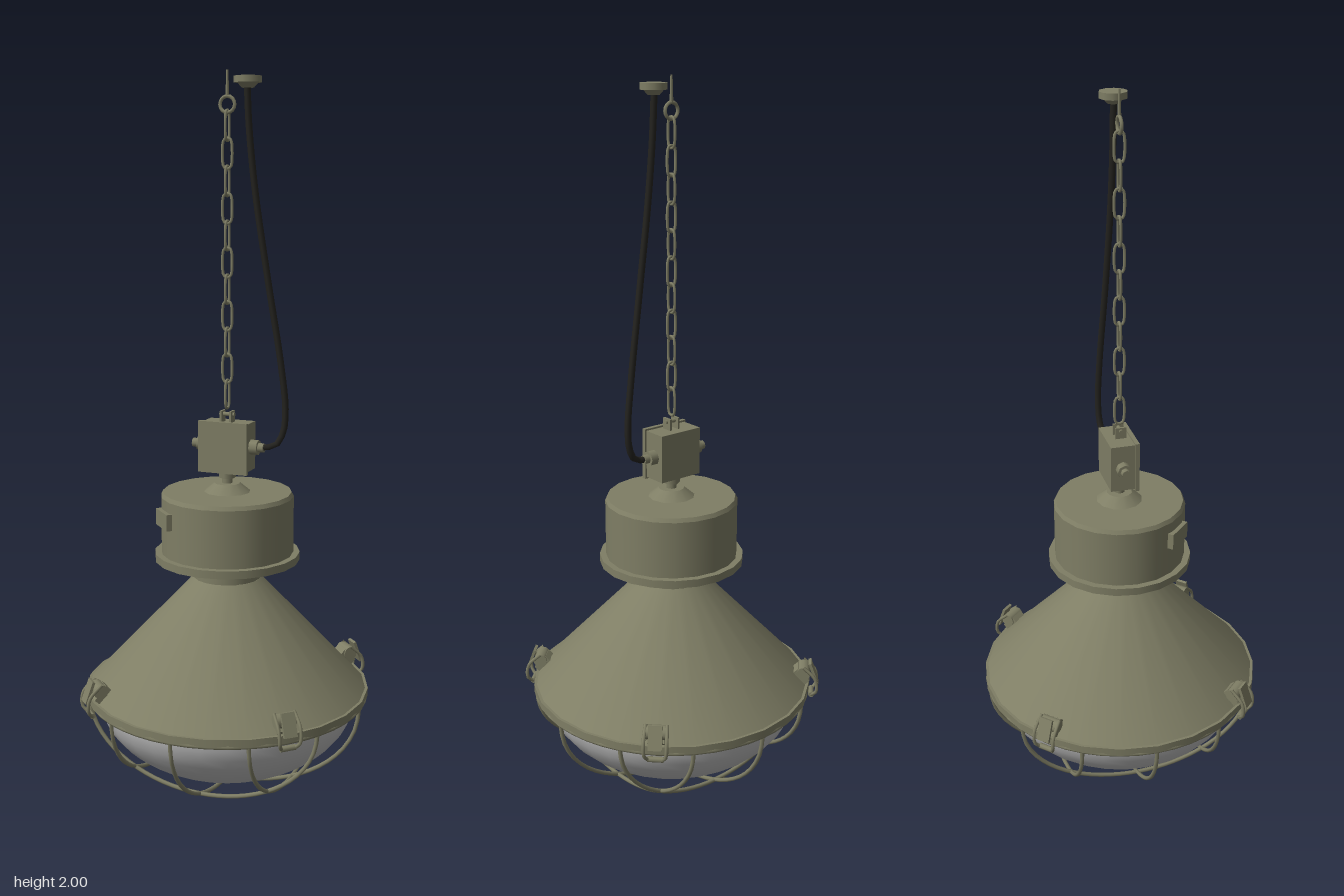
import * as THREE from 'three';

const paint = new THREE.MeshStandardMaterial({ color: 0x7f7e65 });
paint.name = 'olivePaint';
const glass = new THREE.MeshStandardMaterial({ color: 0xbcbcbc });
glass.name = 'frostedGlass';
const rubber = new THREE.MeshStandardMaterial({ color: 0x24231f });
rubber.name = 'blackRubber';

const V = (x, y, z) => new THREE.Vector3(x, y, z);

function add(parent, name, geometry, material, x = 0, y = 0, z = 0) {
  const mesh = new THREE.Mesh(geometry, material);
  mesh.name = name;
  mesh.position.set(x, y, z);
  parent.add(mesh);
  return mesh;
}

// Upright turned part between two heights
function turned(parent, name, y0, y1, rBottom, rTop, sides = 20, x = 0, z = 0) {
  return add(parent, name, new THREE.CylinderGeometry(rTop, rBottom, y1 - y0, sides),
    paint, x, (y0 + y1) / 2, z);
}

// Part turned about the x axis
function sideways(parent, name, x0, x1, r, y, z, sides = 10) {
  const mesh = add(parent, name, new THREE.CylinderGeometry(r, r, x1 - x0, sides),
    paint, (x0 + x1) / 2, y, z);
  mesh.rotation.z = Math.PI / 2;
  return mesh;
}

function wire(parent, name, points, radius, material = paint, closed = false, steps = 24) {
  const curve = new THREE.CatmullRomCurve3(points, closed, 'centripetal');
  return add(parent, name, new THREE.TubeGeometry(curve, steps, radius, 6, closed), material);
}

function createShade() {
  const g = new THREE.Group();
  g.name = 'shade';
  turned(g, 'shadeCone', 0.302, 0.62, 0.395, 0.095, 24);
  turned(g, 'shadeRim', 0.28, 0.302, 0.403, 0.403, 24);
  turned(g, 'neck', 0.615, 0.675, 0.095, 0.095, 20);
  // Glass bowl
  const bowl = new THREE.SphereGeometry(0.37, 32, 12, 0, Math.PI * 2, Math.PI / 2, Math.PI / 2);
  bowl.scale(1, 0.235 / 0.37, 1);
  add(g, 'glassBowl', bowl, glass, 0, 0.281, 0);
  return g;
}

// Guard of crossing wires, three in each direction
function createCage() {
  const g = new THREE.Group();
  g.name = 'cage';
  const R = 0.395;
  for (const turn of [0, Math.PI / 2]) {
    for (const c of [-0.2, 0, 0.2]) {
      const r = Math.sqrt(R * R - c * c);
      const points = [];
      for (let i = 0; i <= 16; i++) {
        const t = (i / 16) * Math.PI;
        points.push(V(c, 0.28 - 0.273 * (r / R) * Math.sin(t), r * Math.cos(t)));
      }
      wire(g, 'cageWire', points, 0.006, paint, false, 32).rotation.y = turn;
    }
  }
  const ring = add(g, 'cageRing', new THREE.TorusGeometry(R, 0.007, 6, 48), paint, 0, 0.28, 0);
  ring.rotation.x = Math.PI / 2;
  return g;
}

// Toggle clamp, built with its outward side along +z
function createClamp() {
  const g = new THREE.Group();
  g.name = 'clamp';
  add(g, 'clampBase', new THREE.BoxGeometry(0.046, 0.05, 0.025), paint, 0, 0.325, 0.378)
    .rotation.x = -0.75;
  sideways(g, 'clampPivot', -0.027, 0.027, 0.02, 0.338, 0.386, 12);
  add(g, 'clampLever', new THREE.BoxGeometry(0.038, 0.065, 0.008), paint, 0, 0.336, 0.415)
    .rotation.x = -0.35;
  for (const s of [-1, 1]) {
    wire(g, 'clampLink', [V(s * 0.029, 0.36, 0.385), V(s * 0.031, 0.325, 0.42),
      V(s * 0.029, 0.285, 0.424), V(s * 0.018, 0.268, 0.41)], 0.005, paint, false, 10);
  }
  sideways(g, 'clampCatch', -0.022, 0.022, 0.008, 0.27, 0.41, 8);
  return g;
}

function createHousing() {
  const g = new THREE.Group();
  g.name = 'gearHousing';
  turned(g, 'housingFlange', 0.672, 0.694, 0.204, 0.204, 20);
  turned(g, 'housingDrum', 0.69, 0.855, 0.186, 0.186, 20);
  turned(g, 'housingTop', 0.855, 0.866, 0.186, 0.18, 20);
  turned(g, 'topBoss', 0.866, 0.89, 0.065, 0.036, 12);
  turned(g, 'stem', 0.885, 0.93, 0.015, 0.015, 10);
  turned(g, 'stemNut', 0.905, 0.923, 0.024, 0.024, 6);
  // Small plate on the drum
  const plate = add(g, 'ratingPlate', new THREE.BoxGeometry(0.085, 0.046, 0.02), paint,
    -0.133, 0.802, 0.13);
  plate.rotation.y = -Math.PI / 4;
  return g;
}

function createJunctionBox() {
  const g = new THREE.Group();
  g.name = 'junctionBox';
  add(g, 'boxBody', new THREE.BoxGeometry(0.134, 0.134, 0.068), paint, 0, 0.995, -0.008);
  add(g, 'boxLid', new THREE.BoxGeometry(0.144, 0.144, 0.012), paint, 0, 0.995, 0.032);
  // Cable glands on both sides
  for (const s of [-1, 1]) {
    const a = s < 0 ? -0.09 : 0.066, b = s < 0 ? -0.066 : 0.09;
    sideways(g, 'gland', a, b, 0.021, 0.995, -0.008, 8);
    sideways(g, 'glandTip', Math.min(s * 0.09, s * 0.106), Math.max(s * 0.09, s * 0.106),
      0.013, 0.995, -0.008, 8);
  }
  // Lug for the chain
  for (const s of [-1, 1]) {
    add(g, 'lugCheek', new THREE.BoxGeometry(0.006, 0.034, 0.03), paint, s * 0.014, 1.077, 0);
  }
  sideways(g, 'lugPin', -0.022, 0.022, 0.006, 1.084, 0, 8);
  return g;
}

function createSuspension() {
  const g = new THREE.Group();
  g.name = 'suspension';
  // Chain links, every other one turned edge-on
  for (let i = 0; i < 11; i++) {
    const y = 1.858 - i * 0.0718;
    const w = 0.012, h = 0.038;
    const points = [V(-w, -h + 0.008, 0), V(-w, h - 0.008, 0), V(-w * 0.6, h, 0), V(w * 0.6, h, 0),
      V(w, h - 0.008, 0), V(w, -h + 0.008, 0), V(w * 0.6, -h, 0), V(-w * 0.6, -h, 0)];
    const link = wire(g, 'chainLink', points, 0.004, paint, true, 24);
    link.position.y = y;
    link.rotation.y = i % 2 ? 0 : Math.PI / 2;
  }
  // Ceiling eye screw
  add(g, 'ceilingEye', new THREE.TorusGeometry(0.021, 0.005, 6, 16), paint, 0, 1.912, 0);
  turned(g, 'eyeShank', 1.932, 2, 0.005, 0.003, 6);
  return g;
}

function createCable() {
  const g = new THREE.Group();
  g.name = 'powerCable';
  wire(g, 'cable', [V(0.056, 1.962, 0), V(0.062, 1.85, 0), V(0.08, 1.68, -0.002),
    V(0.115, 1.45, -0.008), V(0.15, 1.23, -0.016), V(0.164, 1.1, -0.018), V(0.158, 1.04, -0.016),
    V(0.138, 1.005, -0.012), V(0.095, 0.995, -0.008)], 0.009, rubber, false, 40);
  turned(g, 'ceilingRose', 1.966, 1.983, 0.037, 0.037, 10, 0.058);
  turned(g, 'roseNeck', 1.953, 1.966, 0.016, 0.028, 10, 0.058);
  return g;
}

export function createModel() {
  const model = new THREE.Group();
  model.name = 'pendantLamp';
  model.add(createShade(), createCage(), createHousing(), createJunctionBox(),
    createSuspension(), createCable());
  for (let i = 0; i < 4; i++) {
    const clamp = createClamp();
    clamp.rotation.y = Math.PI / 4 + (i * Math.PI) / 2;
    model.add(clamp);
  }
  return model;
}
